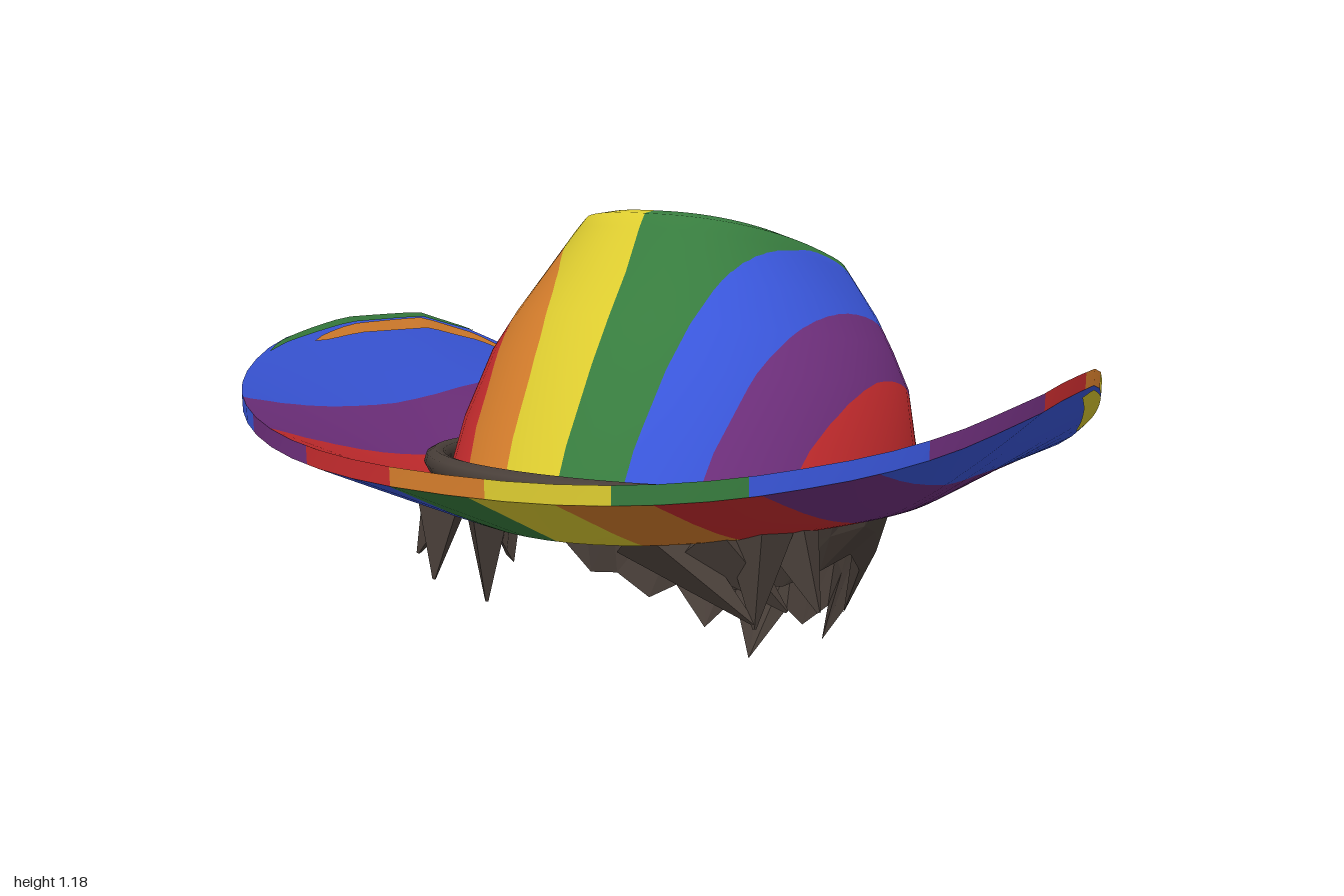
import * as THREE from 'three';

const { sin, cos, abs, sign, PI } = Math;
const lerp = THREE.MathUtils.lerp;
const SEG = 64;

// Stripe order, starting at the centre line and running towards +x
const stripes = [['green', 0x387d3f], ['blue', 0x3a57dc], ['purple', 0x70307e],
  ['red', 0xc82c2e], ['orange', 0xd67e2c], ['yellow', 0xdecd30]].map(([name, color]) => {
  const m = new THREE.MeshStandardMaterial({ color });
  m.name = name;
  return m;
});
const brown = new THREE.MeshStandardMaterial({ color: 0x4a403a, side: THREE.DoubleSide });
brown.name = 'dark brown';

// Signed power, for rounded-rectangle outlines
const spow = (v, e) => sign(v) * abs(v) ** e;
// Height of the hat opening at depth z
const openingY = z => 0.545 + 0.175 * z - 0.13 * z * z;

// Straight-line interpolation through [x, y] points
function through(points, x) {
  let i = 0;
  while (i < points.length - 2 && x > points[i + 1][0]) i++;
  const [x0, y0] = points[i], [x1, y1] = points[i + 1];
  return lerp(y0, y1, (x - x0) / (x1 - x0));
}
// Height of the brim's outer edge by depth
const edgePoints = [[-1, 0.41], [-0.8, 0.53], [-0.6, 0.655], [-0.4, 0.76], [-0.2, 0.83],
  [0.1, 0.86], [0.4, 0.855], [0.8, 0.81], [1, 0.78]];
// Stripe value along the rim by angle from the front
const rimPoints = [[-PI, -1.5], [-2.9, -2], [-2.6, -3], [-2.3, -4], [-1.9, -5], [-1.35, -6],
  [-1.15, -6.6], [-0.95, -6], [-0.8, -5], [-0.63, -4], [-0.33, -3], [-0.1, -2], [0.055, -1],
  [0.3, 0], [0.56, 1], [0.98, 2], [1.39, 3], [1.62, 4], [1.76, 5], [2.08, 6], [2.2, 7],
  [2.45, 8], [2.75, 9], [PI, 9.7]];
// Height of the hair tips by angle from the back
const tipPoints = [[0, 0], [0.15, 0.05], [0.6, 0.11], [1.1, 0.17], [1.5, 0.32]];

// Grid of rows and columns; at(i, j) gives [x, y, z, stripe value]
function grid(rows, cols, at, { closed = true, flip = false } = {}) {
  const pos = [], s = [], index = [];
  for (let i = 0; i < rows; i++) {
    for (let j = 0; j < cols; j++) {
      const p = at(i, j);
      pos.push(p[0], p[1], p[2]);
      s.push(p[3] || 0);
    }
  }
  for (let i = 0; i < rows - 1; i++) {
    for (let j = 0; j < (closed ? cols : cols - 1); j++) {
      const k = (j + 1) % cols;
      const a = i * cols + j, b = a + cols, c = i * cols + k, d = c + cols;
      index.push(...(flip ? [a, c, b, c, d, b] : [a, b, c, c, b, d]));
    }
  }
  const g = new THREE.BufferGeometry();
  g.setAttribute('position', new THREE.Float32BufferAttribute(pos, 3));
  g.setIndex(index);
  g.computeVertexNormals();
  g.userData.s = s;
  return g;
}

// Keep the part of a polygon where dir * (s - level) >= 0
function clip(poly, level, dir) {
  const out = [];
  poly.forEach((p, i) => {
    const q = poly[(i + 1) % poly.length];
    const dp = dir * (p[6] - level), dq = dir * (q[6] - level);
    if (dp >= 0) out.push(p);
    if (dp * dq < 0) out.push(p.map((v, n) => lerp(v, q[n], dp / (dp - dq))));
  });
  return out;
}

// Cut a grid along whole stripe values, one mesh per colour
function striped(name, g) {
  const group = new THREE.Group();
  group.name = name;
  const P = g.attributes.position, N = g.attributes.normal, S = g.userData.s;
  const verts = S.map((s, i) => [P.getX(i), P.getY(i), P.getZ(i), N.getX(i), N.getY(i), N.getZ(i), s]);
  const buckets = stripes.map(() => ({ pos: [], nor: [] }));
  for (let t = 0; t < g.index.count; t += 3) {
    const tri = [0, 1, 2].map(n => verts[g.index.getX(t + n)]);
    const ss = tri.map(v => v[6]);
    const lo = Math.floor(Math.min(...ss)), hi = Math.max(lo + 1, Math.ceil(Math.max(...ss)));
    for (let k = lo; k < hi; k++) {
      const poly = clip(clip(tri, k, 1), k + 1, -1);
      const b = buckets[((k % 6) + 6) % 6];
      for (let n = 1; n < poly.length - 1; n++) {
        for (const v of [poly[0], poly[n], poly[n + 1]]) {
          b.pos.push(v[0], v[1], v[2]);
          b.nor.push(v[3], v[4], v[5]);
        }
      }
    }
  }
  buckets.forEach((b, i) => {
    if (!b.pos.length) return;
    const geo = new THREE.BufferGeometry();
    geo.setAttribute('position', new THREE.Float32BufferAttribute(b.pos, 3));
    geo.setAttribute('normal', new THREE.Float32BufferAttribute(b.nor, 3));
    const m = new THREE.Mesh(geo, stripes[i]);
    m.name = `${name} ${stripes[i].name} stripes`;
    group.add(m);
  });
  return group;
}

// Point on the middle of the brim, t = 0 at the opening, 1 at the edge
function brimPoint(t, th) {
  const e = 2 / lerp(2.6, 2.3, (cos(th) + 1) / 2);
  const zi = 0.655 * cos(th), zo = spow(cos(th), e);
  return [lerp(0.49 * sin(th), 0.87 * spow(sin(th), e), t),
    lerp(openingY(zi), through(edgePoints, zo), t ** (1 + 0.25 * sin(th) ** 2)), lerp(zi, zo, t)];
}
// Stripes fold back on themselves near the upturned sides
function brimStripe(x, z, side) {
  let s = side * (x + 0.02 - 0.063 * z) / 0.165;
  if (s > 4) s += (s - 4) * 0.4;
  if (s < -4.9) return Math.min(-4.9, s + 0.15);
  const peak = 5.2 - 0.2 * z;
  return s < peak ? s : s < peak + 0.42 ? 2 * peak - s : s - 0.84;
}
const brimSide = side => grid(21, SEG, (i, j) => {
  const [x, y, z] = brimPoint(i / 20, j / SEG * 2 * PI);
  return [x, y + side * 0.018, z, side < 0 ? Math.max(-4.98, brimStripe(x, z, -1)) : brimStripe(x, z, 1)];
}, { flip: side < 0 });
const brimRim = () => grid(2, SEG + 1, (i, j) => {
  const th = (j / SEG * 2 - 1) * PI;
  const [x, y, z] = brimPoint(1, th);
  return [x, y + (i ? -0.018 : 0.018), z, through(rimPoints, th)];
}, { closed: false });

// Thin tapered streak lying on the brim between two angles
function streak(name, colour, side, th0, th1, t0, t1) {
  const g = grid(2, 17, (i, j) => {
    const taper = sin(PI * j / 16) ** 0.5, mid = (t0 + t1) / 2;
    const t = mid + (i - 0.5) * (t1 - t0) * taper;
    const [x, y, z] = brimPoint(t, lerp(th0, th1, j / 16));
    return [x - sign(x) * side * 0.004, y + side * 0.021, z];
  }, { closed: false, flip: side < 0 });
  const m = new THREE.Mesh(g, stripes.find(s => s.name === colour));
  m.name = name;
  return m;
}

// Crown rings from top to base: half width, front z, back z, height share, stripe radius, outline power
const crownRings = [
  [0, -0.17, -0.17, 1, 0, 2.5],
  [0.12, 0.04, -0.4, 1, 0.46, 2.6],
  [0.205, 0.18, -0.53, 1, 0.8, 2.6],
  [0.25, 0.225, -0.55, 0.975, 0.96, 2.5],
  [0.275, 0.25, -0.56, 0.92, 1.07, 2.4],
  [0.35, 0.315, -0.585, 0.75, 1.85, 2.2],
  [0.405, 0.39, -0.6, 0.6, 2.45, 2.1],
  [0.455, 0.465, -0.615, 0.45, 3.05, 2],
  [0.485, 0.575, -0.64, 0.22, 3.6, 2],
  [0.5, 0.66, -0.66, 0, 4, 2],
];
function crownSide(outer) {
  const k = outer ? 1 : 0.985;
  return grid(crownRings.length, SEG, (i, j) => {
    const [a, zf, zb, h, r, n] = crownRings[i], th = j / SEG * 2 * PI;
    const sx = spow(sin(th), 2 / n), sz = spow(cos(th), 2 / n);
    const z = (zf + zb) / 2 + (zf - zb) / 2 * sz;
    const roof = 1.125 + 0.29 * z + (i < 2 ? 0.008 : 0);
    const y = lerp(openingY(0.66 * cos(th)), roof, h) - (outer ? 0 : lerp(0.018, 0.012, h));
    return [a * sx * k, y, z * k, outer ? r * sx : -0.75 * r * (sx + 0.1)];
  }, { flip: !outer });
}

// Faceted hair around the back and sides, ending in pointed locks
function hairShell() {
  const cols = 25;
  const g = grid(5, cols, (i, j) => {
    const phi = (j / (cols - 1) * 2 - 1) * 2.55, f = abs(phi), th = PI + phi;
    const wob = sin(j * 5.3) * 0.5 + sin(j * 2.1) * 0.5;
    const topY = openingY(0.6 * cos(th)) + 0.025;
    let tip = 0.435 + 0.015 * wob;
    if (f < 1.55) tip = through(tipPoints, f) + (j % 2 ? 0.06 : 0) + (f > 0.1 ? 0.025 * wob : 0);
    const y = [topY, lerp(topY, tip, 0.5), tip, lerp(topY, tip, 0.55), topY][i];
    const d = topY - y;
    const k = (1 - 0.5 * d - 1.1 * d * d) * [1, 1 + 0.03 * wob, 1, 0.9, 0.87][i];
    return [0.455 * sin(th) * k, y, 0.575 * cos(th) * k];
  }, { closed: false }).toNonIndexed();
  g.computeVertexNormals();
  return g;
}

// One four-sided lock of hair from root to tip
function lock(root, tip, radius) {
  const a = new THREE.Vector3(...root), b = new THREE.Vector3(...tip);
  const g = new THREE.CylinderGeometry(0.004, radius, a.distanceTo(b), 4, 1).toNonIndexed();
  g.computeVertexNormals();
  const m = new THREE.Mesh(g, brown);
  m.position.copy(a).lerp(b, 0.5);
  m.quaternion.setFromUnitVectors(new THREE.Vector3(0, 1, 0), b.clone().sub(a).normalize());
  m.name = 'front lock';
  return m;
}

export function createModel() {
  const model = new THREE.Group();
  model.name = 'striped hat with hair';

  const hat = new THREE.Group();
  hat.name = 'hat';
  hat.add(striped('brim top', brimSide(1)), striped('brim underside', brimSide(-1)),
    striped('brim rim', brimRim()), striped('crown', crownSide(true)), striped('crown lining', crownSide(false)),
    streak('orange brim streak', 'orange', 1, -2.05, -1.35, 0.9, 0.965),
    streak('green brim streak', 'green', 1, -1.9, -1.15, 0.97, 1),
    streak('yellow underside streak', 'yellow', -1, 1.65, 2.15, 0.9, 0.99));

  // Cord resting around the crown
  const ring = [];
  for (let i = 0; i < 32; i++) {
    const t = i / 32 * 2 * PI, z = 0.668 * cos(t);
    ring.push(new THREE.Vector3(0.515 * sin(t), 0.585 + 0.17 * z, z + 0.01));
  }
  const cord = new THREE.Mesh(
    new THREE.TubeGeometry(new THREE.CatmullRomCurve3(ring, true), 64, 0.025, 8, true), brown);
  cord.name = 'hat cord';
  hat.add(cord);

  const hair = new THREE.Group();
  hair.name = 'hair';
  const shell = new THREE.Mesh(hairShell(), brown);
  shell.name = 'back and side hair';
  hair.add(shell);

  // Fringe: locks at both temples and a sweep across the forehead
  for (const s of [-1, 1]) {
    hair.add(lock([s * 0.39, 0.59, 0.38], [s * 0.47, 0.43, 0.41], 0.07));
    hair.add(lock([s * 0.36, 0.6, 0.46], [s * 0.37, 0.41, 0.5], 0.07));
  }
  hair.add(lock([-0.22, 0.62, 0.52], [-0.24, 0.38, 0.5], 0.06));
  hair.add(lock([0.15, 0.61, 0.54], [0.37, 0.42, 0.5], 0.08));
  hair.add(lock([0.26, 0.6, 0.5], [0.41, 0.43, 0.43], 0.08));

  model.add(hat, hair);
  return model;
}
